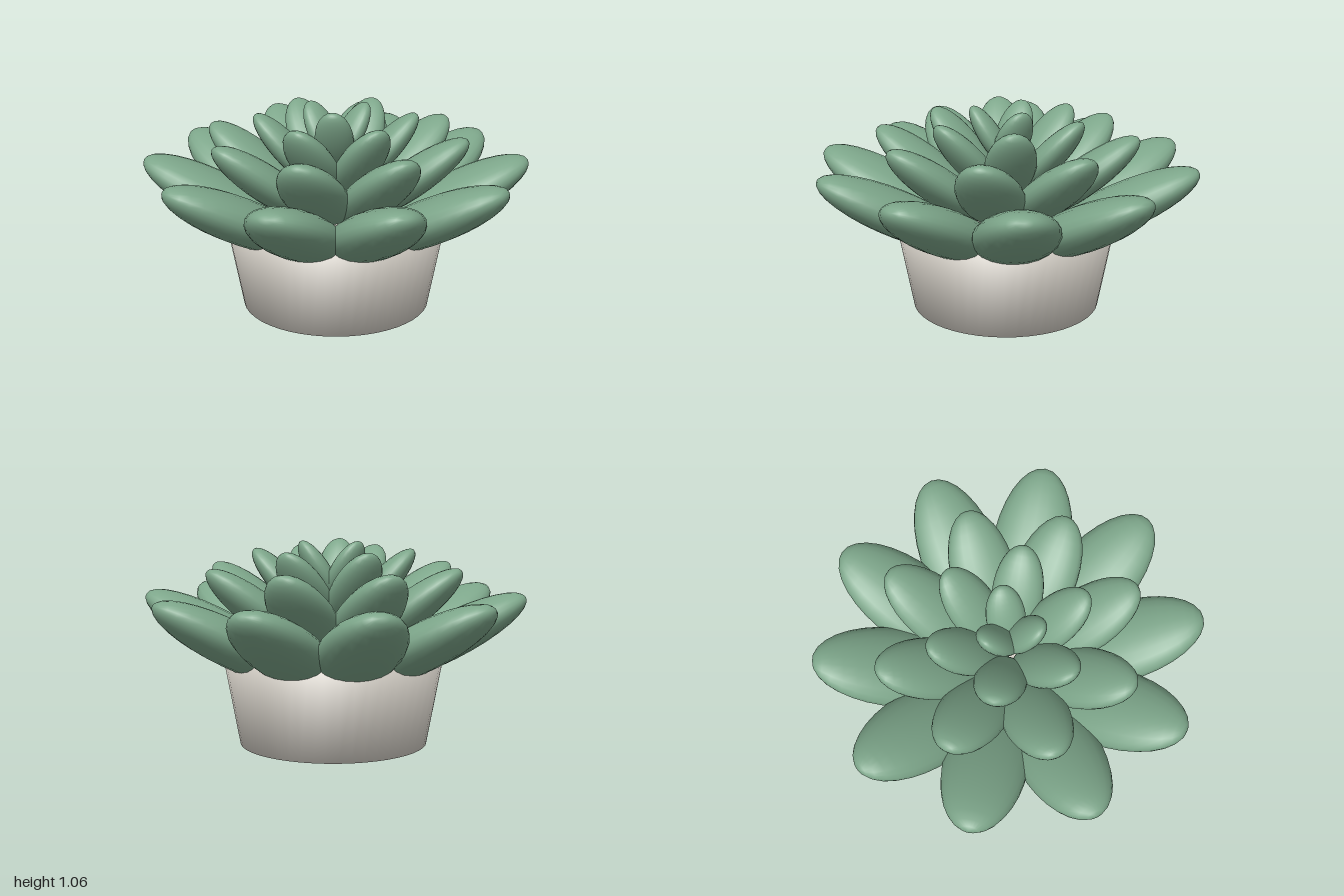
import * as THREE from 'three';
import { mergeVertices } from 'three/addons/utils/BufferGeometryUtils.js';

const leafGreen = new THREE.MeshStandardMaterial({ color: 0x7da68a });
leafGreen.name = 'leaf green';
const potCream = new THREE.MeshStandardMaterial({ color: 0xd9d4cb });
potCream.name = 'pot cream';

// Rings from the outside in: semi-axes along, across and through the leaf,
// upward tilt, first angle, and centre of each leaf (distance out, height).
const RINGS = [
  { name: 'outer', count: 10, size: [0.46, 0.217, 0.118], tilt: 28, start: 0, out: 0.588, y: 0.56 },
  { name: 'middle', count: 8, size: [0.36, 0.172, 0.095], tilt: 38, start: 24, out: 0.40, y: 0.702 },
  { name: 'inner', count: 6, size: [0.27, 0.132, 0.075], tilt: 48, start: 23, out: 0.236, y: 0.815 },
  { name: 'centre', count: 3, size: [0.19, 0.1, 0.06], tilt: 58, start: 60, out: 0.075, y: 0.9 },
];

// Ring of plump ellipsoid leaves fanned around the vertical axis
function leafRing({ name, count, size, tilt, start, out, y }) {
  const [length, width, thickness] = size;
  const geometry = new THREE.SphereGeometry(1, 22, 16);
  geometry.rotateZ(-Math.PI / 2);
  geometry.scale(length, thickness, width);
  geometry.rotateZ(THREE.MathUtils.degToRad(tilt));
  geometry.translate(out, y, 0);

  const ring = new THREE.Group();
  ring.name = `${name}LeafRing`;
  for (let i = 0; i < count; i++) {
    const leaf = new THREE.Mesh(geometry, leafGreen);
    leaf.name = `${name}Leaf${i + 1}`;
    leaf.rotation.y = -THREE.MathUtils.degToRad(start + (360 / count) * i);
    ring.add(leaf);
  }
  return ring;
}

// Tapered pot with softly blended normals
function makePot() {
  const height = 0.52;
  let geometry = new THREE.CylinderGeometry(0.588, 0.492, height, 48);
  geometry.translate(0, height / 2, 0);
  geometry.deleteAttribute('normal');
  geometry.deleteAttribute('uv');
  geometry = mergeVertices(geometry);
  geometry.computeVertexNormals();
  const pot = new THREE.Mesh(geometry, potCream);
  pot.name = 'pot';
  return pot;
}

export function createModel() {
  const model = new THREE.Group();
  model.name = 'pottedSucculent';
  model.add(makePot());
  for (const ring of RINGS) model.add(leafRing(ring));
  return model;
}
